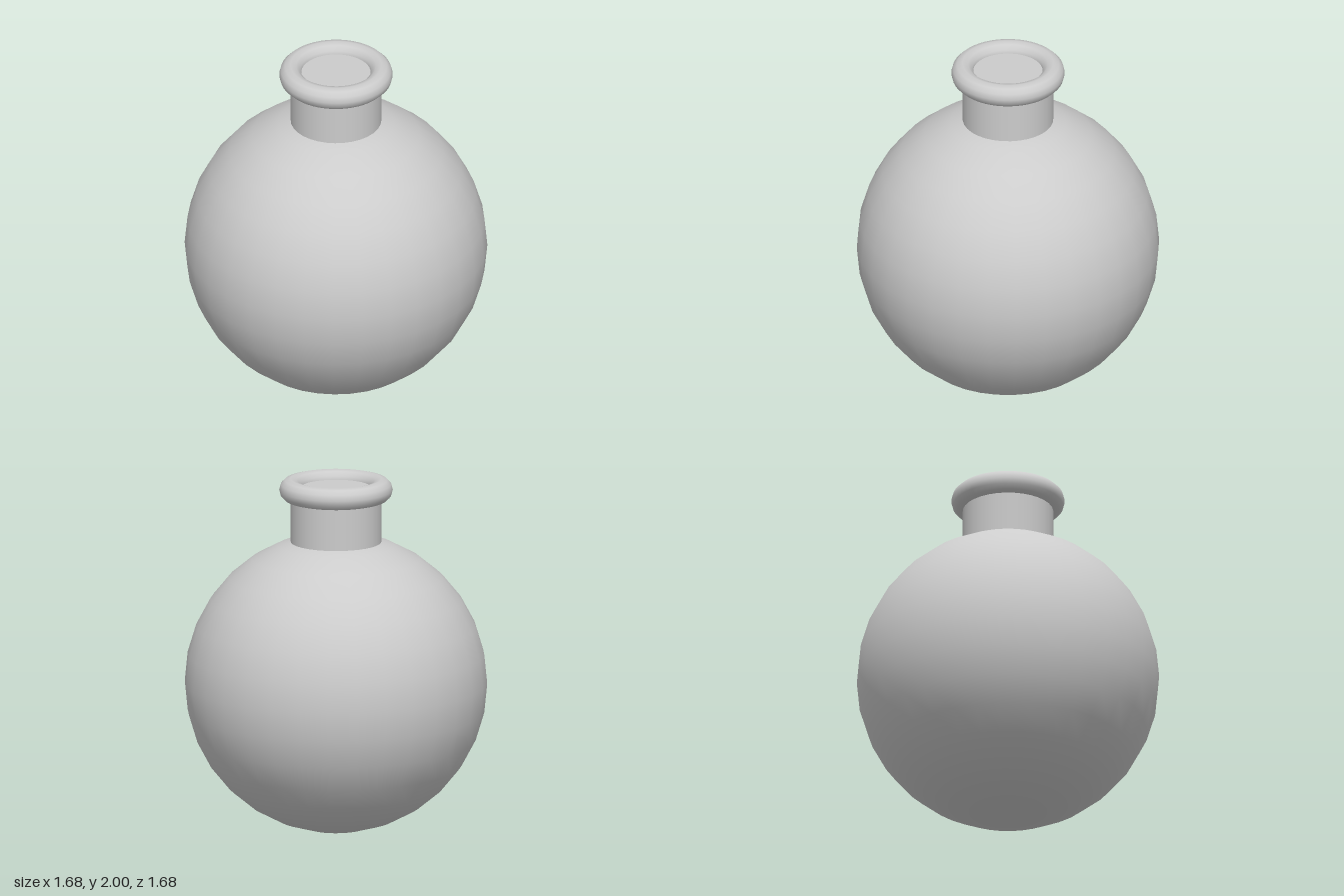
import * as THREE from 'three';

const BODY_R = 0.842, NECK_R = 0.2526, LIP_R = 0.0632;

export function createModel() {
  const group = new THREE.Group();
  const material = new THREE.MeshStandardMaterial({ color: 0xcccccc });
  const add = (name, geometry, y) => {
    const mesh = new THREE.Mesh(geometry, material);
    mesh.name = name;
    mesh.position.y = y;
    group.add(mesh);
    return mesh;
  };

  // Round body resting on the ground
  add('body', new THREE.SphereGeometry(BODY_R, 32, 16), BODY_R);

  // Closed neck, sunk into the body and ending inside the lip
  const neckBottom = 1.58, neckTop = 1.95;
  add('neck', new THREE.CylinderGeometry(NECK_R, NECK_R, neckTop - neckBottom, 32),
    (neckBottom + neckTop) / 2);

  // Rolled lip around the mouth
  const lip = new THREE.TorusGeometry(NECK_R, LIP_R, 12, 48).rotateX(-Math.PI / 2);
  add('lip', lip, 2 - LIP_R);

  return group;
}
